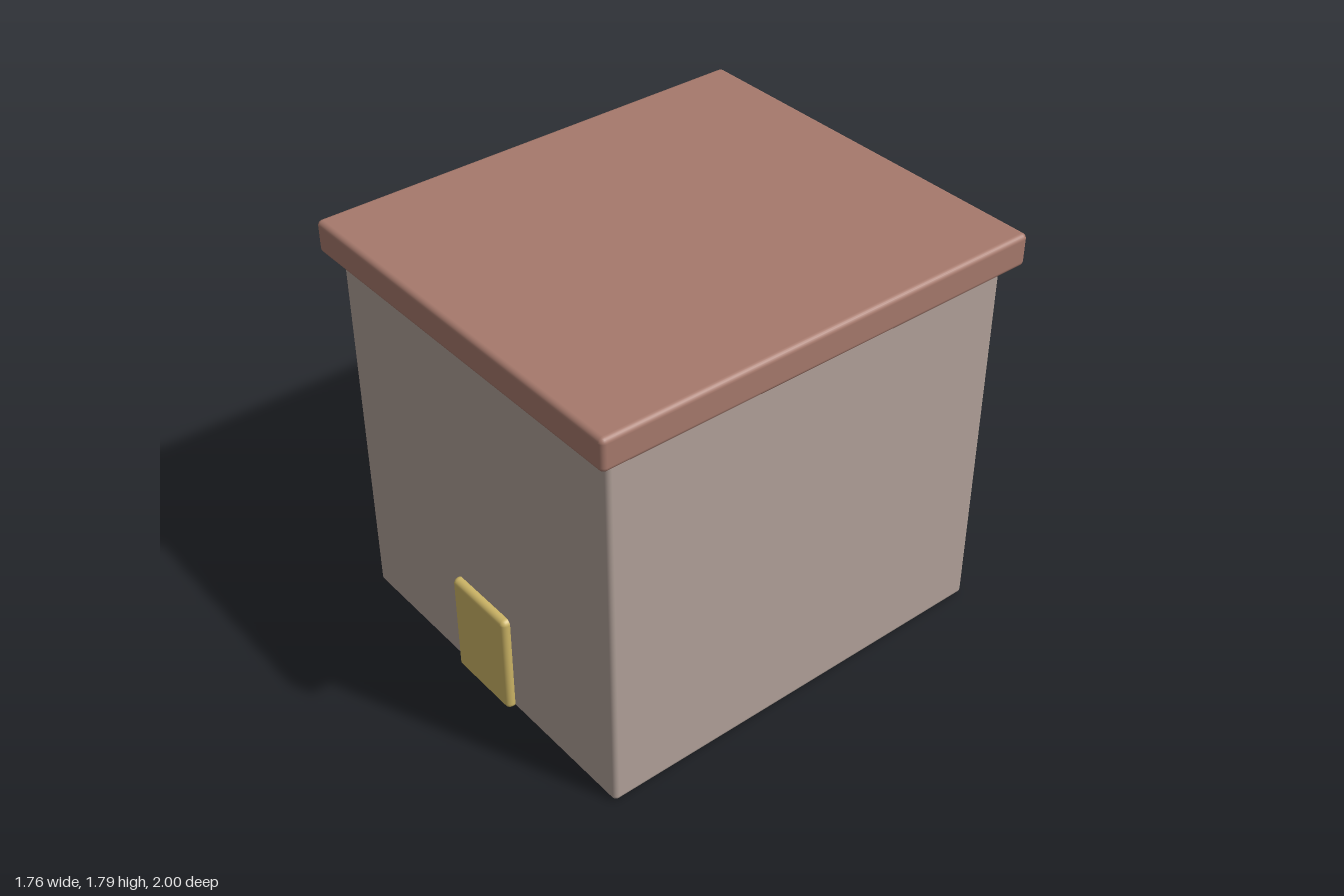
import * as THREE from 'three';
import { RoundedBoxGeometry } from 'three/addons/geometries/RoundedBoxGeometry.js';

const material = (name, color) => {
  const m = new THREE.MeshStandardMaterial({ color });
  m.name = name;
  return m;
};

// Box with softened edges, placed by its bottom height and centre z
function softBox(name, mat, [w, h, d], bottom, z, radius) {
  const mesh = new THREE.Mesh(new RoundedBoxGeometry(w, h, d, 3, radius), mat);
  mesh.name = name;
  mesh.position.set(0, bottom + h / 2, z);
  return mesh;
}

export function createModel() {
  const group = new THREE.Group();
  group.name = 'house';

  const wallMat = material('warm grey plaster', 0xb0a098);
  const roofMat = material('clay red', 0xa6796c);
  const doorMat = material('ochre yellow', 0xcdb566);

  group.add(
    // Main block
    softBox('walls', wallMat, [1.64, 1.645, 1.876], 0, 0, 0.022),
    // Flat overhanging slab
    softBox('roof', roofMat, [1.76, 0.14, 2], 1.65, 0, 0.022),
    // Door standing slightly proud of the front wall
    softBox('door', doorMat, [0.35, 0.468, 0.07], 0, 0.937, 0.024),
  );
  return group;
}
